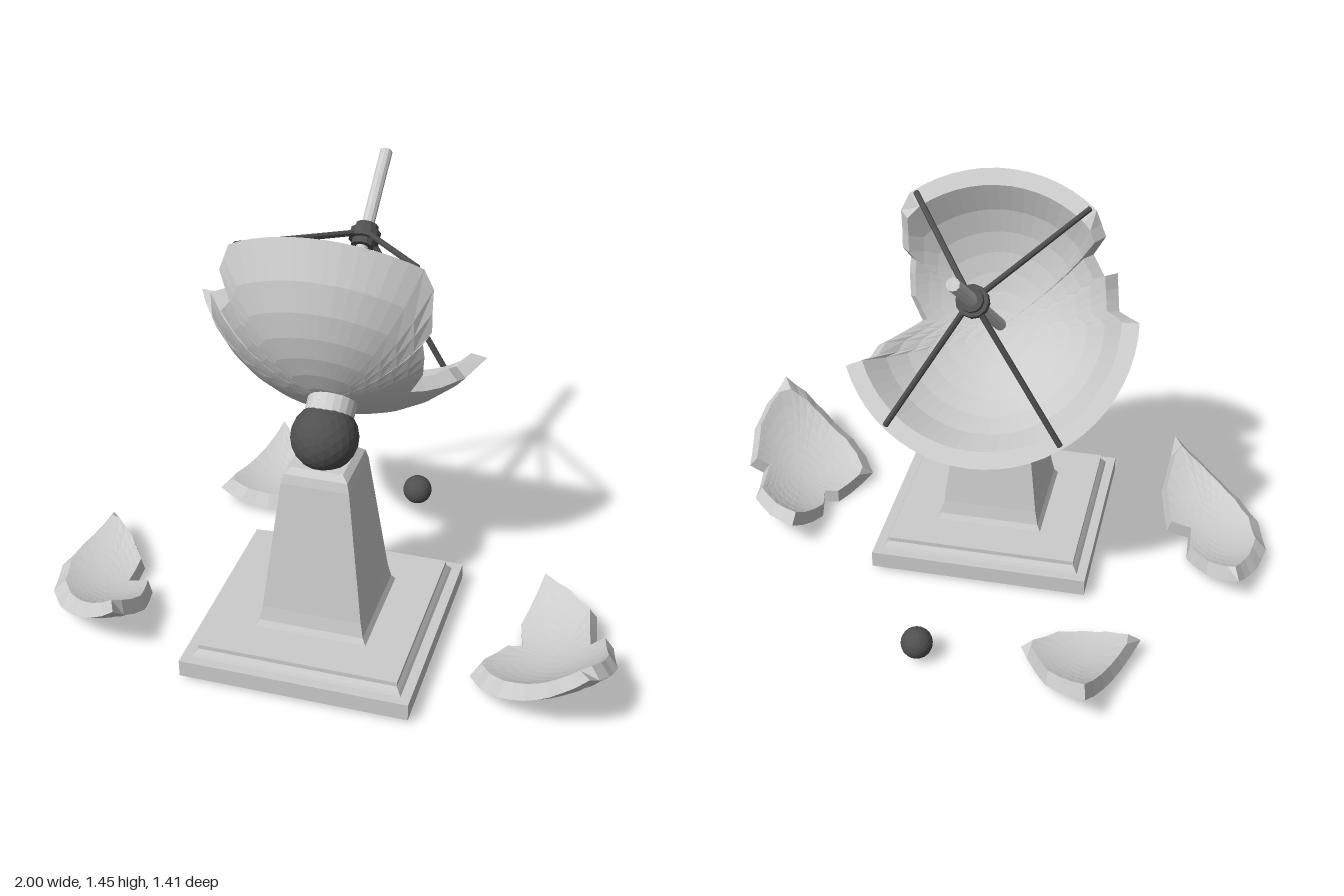
import * as THREE from 'three';

const R = 0.547, T = 0.05, RIM = 64.3; // shell radius, shell thickness, rim half angle in degrees
const light = new THREE.MeshStandardMaterial({ color: 0xcccccc, flatShading: true });
light.name = 'lightGrey';
const dark = new THREE.MeshStandardMaterial({ color: 0x505050, flatShading: true });
dark.name = 'darkGrey';

function add(parent, name, geometry, material, x = 0, y = 0, z = 0) {
  const mesh = new THREE.Mesh(geometry, material);
  mesh.name = name;
  mesh.position.set(x, y, z);
  parent.add(mesh);
  return mesh;
}

// Square solid from [half width, height] pairs
function squareLoft(profile) {
  const pts = profile.map(([h, y]) => new THREE.Vector2(h * Math.SQRT2, y));
  return new THREE.LatheGeometry(pts, 4).rotateY(Math.PI / 4);
}

// Thick patch of a spherical bowl resting on its lowest point.
// outline: [x, z, isRim] in plan; hub: inner point the skin fans out from.
function shell(outline, hub, pull) {
  let edge = [];
  outline.forEach((a, i) => {
    const b = outline[(i + 1) % outline.length];
    const n = Math.max(1, Math.ceil(Math.hypot(b[0] - a[0], b[1] - a[1]) / 0.07));
    for (let k = 0; k < n; k++) {
      const f = k / n;
      edge.push([a[0] + (b[0] - a[0]) * f, a[1] + (b[1] - a[1]) * f, k ? Math.min(a[2], b[2]) : a[2]]);
    }
  });
  const area = edge.reduce((s, a, i) => {
    const b = edge[(i + 1) % edge.length];
    return s + a[0] * b[1] - b[0] * a[1];
  }, 0);
  if (area < 0) edge.reverse();

  const rings = 7, pos = [];
  const point = (q, f, inner) => {
    const dx = q[0] - hub[0], dz = q[1] - hub[1];
    const g = inner ? f * (1 - q[2] * pull / Math.hypot(dx, dz)) : f;
    const x = hub[0] + dx * g, z = hub[1] + dz * g;
    const k = inner ? (R - T) / R : 1;
    return [x * k, R - k * Math.sqrt(R * R - x * x - z * z), z * k];
  };
  const quad = (a, b, c, d) => pos.push(...a, ...b, ...c, ...a, ...c, ...d);
  edge.forEach((q, j) => {
    const p = edge[(j + 1) % edge.length];
    for (let i = 0; i < rings; i++) {
      const f = i / rings, g = (i + 1) / rings;
      quad(point(q, f), point(q, g), point(p, g), point(p, f));
      quad(point(p, f, true), point(p, g, true), point(q, g, true), point(q, f, true));
    }
    quad(point(q, 1), point(q, 1, true), point(p, 1, true), point(p, 1));
  });
  const geo = new THREE.BufferGeometry();
  geo.setAttribute('position', new THREE.Float32BufferAttribute(pos, 3));
  geo.computeVertexNormals();
  return geo;
}

// Rod between two points
function rod(parent, name, a, b, radius, material) {
  const dir = b.clone().sub(a);
  const mesh = add(parent, name, new THREE.CylinderGeometry(radius, radius, dir.length(), 8), material);
  mesh.position.copy(a).addScaledVector(dir, 0.5);
  mesh.quaternion.setFromUnitVectors(new THREE.Vector3(0, 1, 0), dir.normalize());
}

// Dish outline: two intact rim arcs joined by jagged breaks, in [angle, opening angle]
function dishOutline() {
  const polar = [];
  const arc = (from, to) => {
    const n = Math.round((to - from) / 6);
    for (let i = 0; i <= n; i++) polar.push([from + (to - from) * i / n, RIM]);
  };
  arc(51, 129);
  polar.push([138, 58], [139, 47], [151, 46.5], [153, 54], [159, 51.5], [169, 50]);
  arc(176, 335);
  polar.push([337, 52], [343, 47], [359, 29], [373, 35.5], [385, 40], [392, 43], [393, 48], [404, 60]);
  return polar.map(([phi, theta]) => {
    const p = THREE.MathUtils.degToRad(phi), r = R * Math.sin(THREE.MathUtils.degToRad(theta));
    return [r * Math.cos(p), r * Math.sin(p), theta === RIM ? 1 : 0];
  });
}

// Broken pieces on the ground: resting point, fan centre and plan outline
const pieces = [
  { name: 'rightFragment', at: [-0.8, 0.01, 0.3], hub: [-0.8, 0.36], outline: [
    [-0.914, 0.01, 1], [-0.97, 0.16, 1], [-0.995, 0.29, 1], [-0.957, 0.44, 1], [-0.88, 0.54, 1], [-0.797, 0.605, 1],
    [-0.71, 0.655, 1], [-0.61, 0.69, 1], [-0.588, 0.5, 0], [-0.63, 0.337, 0], [-0.71, 0.337, 0], [-0.717, 0.2, 0], [-0.797, 0.096, 0]] },
  { name: 'leftFragment', at: [0.63, 0.005, 0.3], hub: [0.8, 0.34], outline: [
    [0.53, 0.46, 1], [0.58, 0.535, 1], [0.647, 0.595, 1], [0.78, 0.657, 1], [0.86, 0.68, 1], [0.936, 0.674, 1], [0.985, 0.56, 0], [1, 0.455, 0],
    [0.968, 0.294, 0], [0.92, 0.305, 0], [0.888, 0.123, 0], [0.797, 0.03, 0], [0.695, -0.027, 0],
    [0.647, 0.176, 0], [0.674, 0.283, 0], [0.62, 0.294, 0]] },
  { name: 'backFragment', at: [-0.4, 0.015, -0.38], hub: [-0.43, -0.43], outline: [
    [-0.487, -0.706, 0], [-0.34, -0.59, 0], [-0.225, -0.41, 1], [-0.315, -0.31, 1], [-0.42, -0.28, 1],
    [-0.53, -0.283, 1], [-0.615, -0.312, 1]] },
];

export function createModel() {
  const model = new THREE.Group();
  model.name = 'brokenDishAntenna';

  // Pedestal
  add(model, 'basePlate', squareLoft([[0, 0.02], [0.385, 0.02], [0.385, 0.08], [0.352, 0.08],
    [0.346, 0.09], [0.335, 0.105], [0.335, 0.12], [0, 0.12]]), light, 0, 0, 0.315);
  add(model, 'pillar', squareLoft([[0.19, 0.12], [0.178, 0.14], [0.168, 0.19], [0.113, 0.65],
    [0.105, 0.682], [0.085, 0.7], [0, 0.7]]), light, 0, 0, 0.315);
  add(model, 'ballJoint', new THREE.IcosahedronGeometry(0.11, 3), dark, 0, 0.775, 0.315);

  // Tilted dish assembly; local y is the dish axis
  const dish = new THREE.Group();
  dish.name = 'dishAssembly';
  dish.position.set(-0.02, 0.872, 0.248);
  dish.rotation.x = THREE.MathUtils.degToRad(-52.8);
  model.add(dish);
  add(dish, 'dish', shell(dishOutline(), [0, 0], 0.013), light);
  add(dish, 'collar', new THREE.CylinderGeometry(0.08, 0.08, 0.15, 20), light, 0.02, -0.055, -0.024);
  add(dish, 'mast', new THREE.CylinderGeometry(0.021, 0.021, 0.886, 10), light, 0, 0.473, 0.012);
  add(dish, 'mastRing', new THREE.CylinderGeometry(0.052, 0.052, 0.035, 12), dark, 0, 0.586, 0.012);
  add(dish, 'mastSleeve', new THREE.CylinderGeometry(0.039, 0.039, 0.08, 12), dark, 0, 0.586, 0.012);
  for (const sx of [-1, 1]) for (const sz of [-1, 1]) {
    rod(dish, 'strut', new THREE.Vector3(sx * 0.025, 0.58, 0.012 + sz * 0.03),
      new THREE.Vector3(sx * 0.288, 0.312, sz * 0.385), 0.01, dark);
  }

  // Debris
  for (const { name, at, hub, outline } of pieces) {
    const local = outline.map(([x, z, rim]) => [x - at[0], z - at[2], rim]);
    add(model, name, shell(local, [hub[0] - at[0], hub[1] - at[2]], 0.028), light, ...at);
  }
  add(model, 'looseBall', new THREE.IcosahedronGeometry(0.054, 3), dark, 0.112, 0.075, -0.495);
  return model;
}
